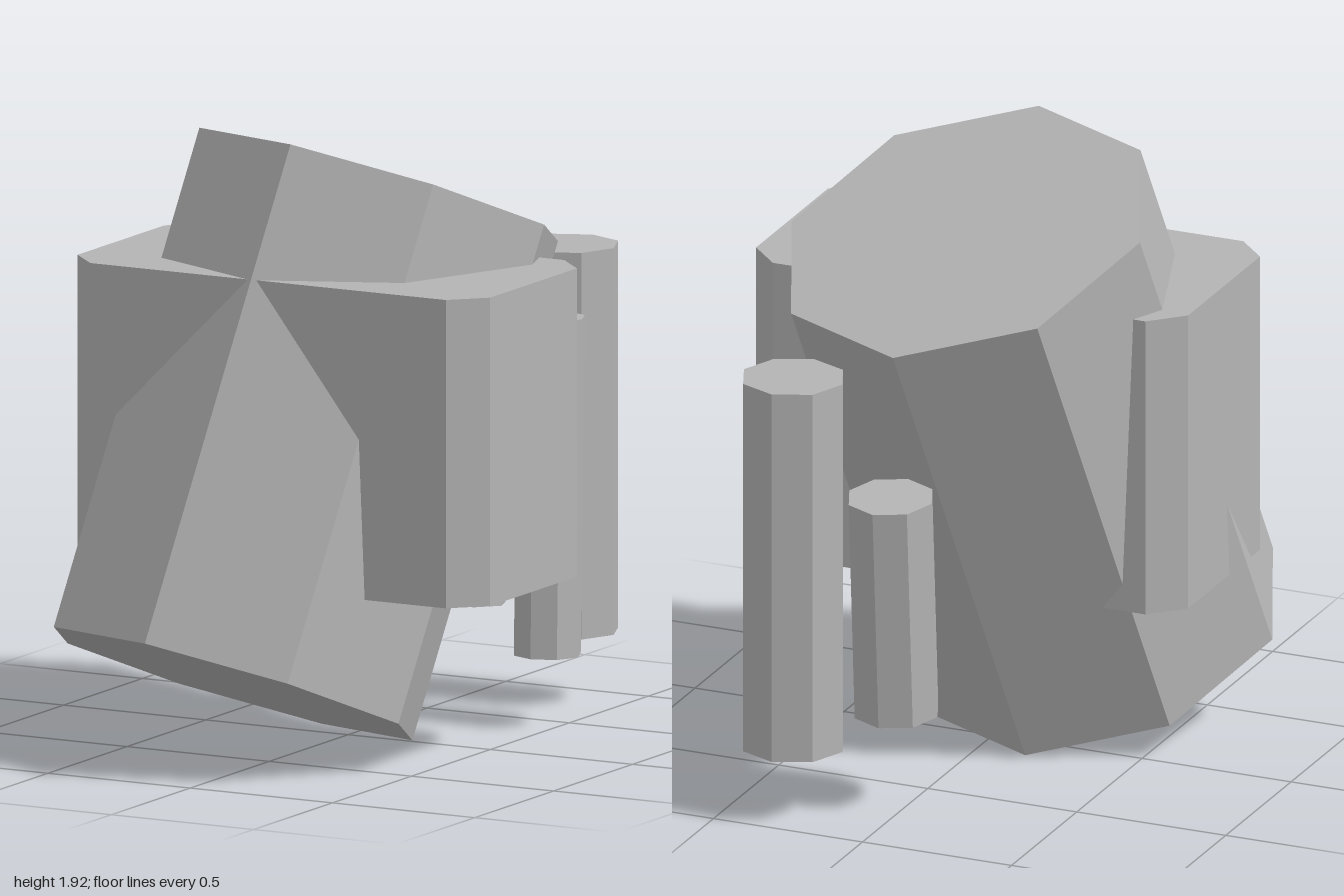
import * as THREE from 'three';

export function createModel() {
  const group = new THREE.Group();
  const grey = new THREE.MeshStandardMaterial({ color: 0xb4b4b4, flatShading: true });
  grey.name = 'stoneGrey';

  // Eight-sided prism running between two end centres, with a corner facing front
  function addPrism(name, bottom, top, radius) {
    const a = new THREE.Vector3(...bottom);
    const b = new THREE.Vector3(...top);
    const axis = b.clone().sub(a);
    const mesh = new THREE.Mesh(new THREE.CylinderGeometry(radius, radius, axis.length(), 8), grey);
    axis.normalize();
    const front = new THREE.Vector3(1, 0, 0).cross(axis).normalize();
    const side = axis.clone().cross(front);
    mesh.quaternion.setFromRotationMatrix(new THREE.Matrix4().makeBasis(side, axis, front));
    mesh.position.copy(a).add(b).multiplyScalar(0.5);
    mesh.name = name;
    group.add(mesh);
  }

  // Large leaning trunk
  addPrism('leaningTrunk', [-0.16, 0.222, 0.44], [0.03, 1.705, -0.14], 0.6);

  // Columns behind the trunk
  addPrism('tallColumn', [0.305, 0.22, -0.835], [0.305, 1.43, -0.835], 0.165);
  addPrism('slimColumn', [0.455, 0.223, -0.442], [0.455, 1.277, -0.468], 0.107);
  addPrism('shortColumn', [0.035, 0.312, -0.66], [0.03, 1.035, -0.717], 0.138);

  // Upright block with cut corners, drawn in plan (shape y is -z)
  const x0 = -0.69, x1 = 0.76, z0 = -0.18, z1 = 0.57, cut = 0.1;
  const plan = new THREE.Shape([
    [x0 + cut, z1], [x1 - cut, z1], [x1, z1 - cut], [x1, z0 + cut],
    [x1 - cut, z0], [x0 + cut, z0], [x0, z0 + cut], [x0, z1 - cut],
  ].map(([x, z]) => new THREE.Vector2(x, -z)));
  const block = new THREE.Mesh(
    new THREE.ExtrudeGeometry(plan, { depth: 0.965, bevelEnabled: false }), grey);
  block.rotation.x = -Math.PI / 2;
  block.position.y = 0.555;
  block.name = 'chamferedBlock';
  group.add(block);

  return group;
}
